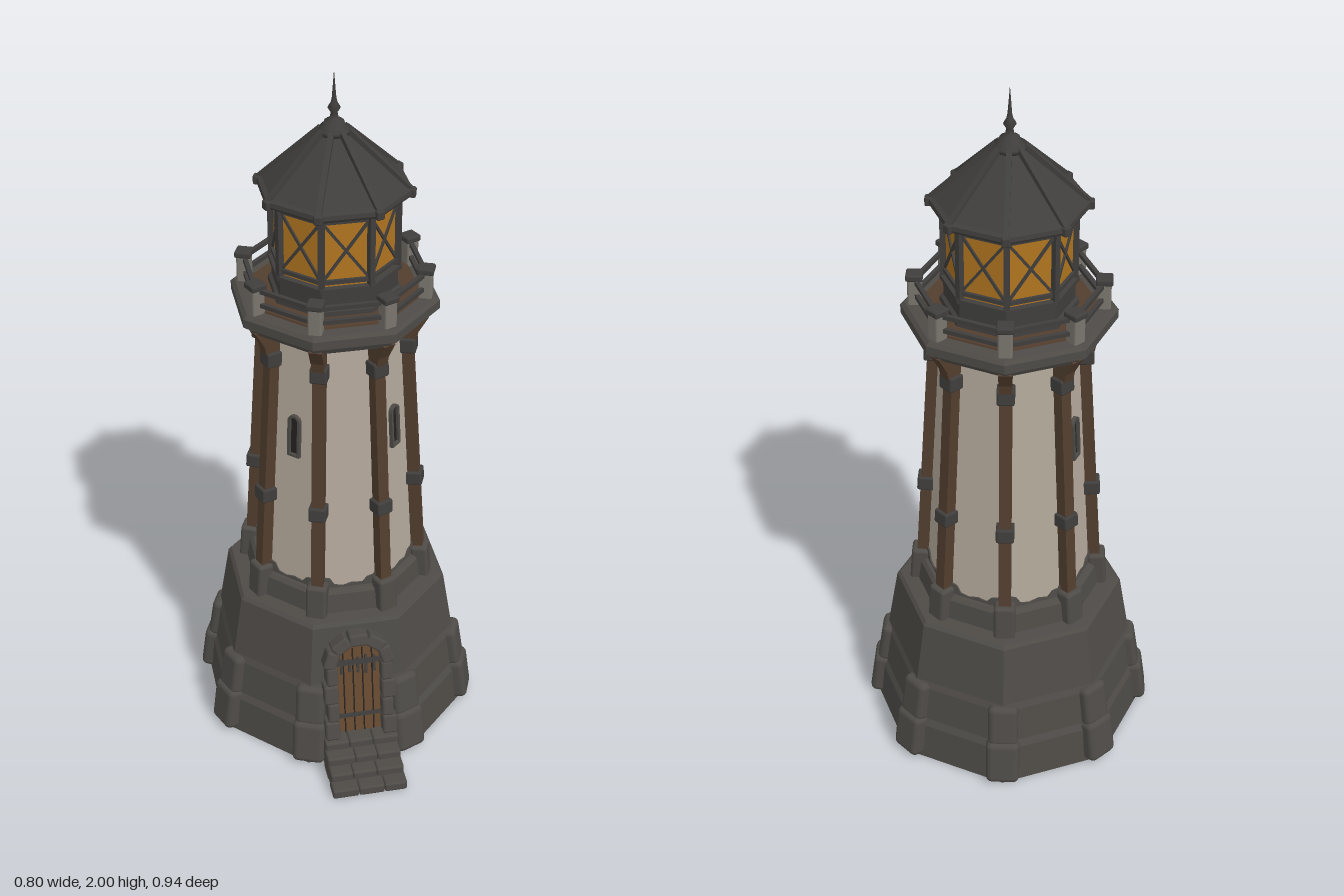
import * as THREE from 'three';
import { RoundedBoxGeometry } from 'three/addons/geometries/RoundedBoxGeometry.js';

const paint = (name, color, side = THREE.FrontSide) => {
  const m = new THREE.MeshStandardMaterial({ color, side });
  m.name = name;
  return m;
};

export function createModel() {
  const stone = paint('stone', 0x4e4b47);
  const plaster = paint('plaster', 0xb3a89b);
  const wood = paint('wood', 0x523e2e);
  const doorWood = paint('doorWood', 0x674930);
  const iron = paint('iron', 0x3f3e3c);
  const glass = paint('amberGlass', 0xb0741f);
  const railStone = paint('railStone', 0x79746d);
  const dark = paint('darkOpening', 0x24211f);

  const model = new THREE.Group();
  model.name = 'lighthouse';
  const body = new THREE.Group();
  body.name = 'lighthouseBody';
  body.position.z = -0.062;
  model.add(body);

  const C = Math.cos(Math.PI / 8);
  const add = (parent, name, geo, mat, x = 0, y = 0, z = 0) => {
    const m = new THREE.Mesh(geo, mat);
    m.name = name;
    m.position.set(x, y, z);
    parent.add(m);
    return m;
  };
  const box = (w, h, d) => new THREE.BoxGeometry(w, h, d);
  const block = (w, h, d, r = 0.012) => new RoundedBoxGeometry(w, h, d, 2, r);

  // Flat-sided octagonal ring; profile is [distance to flat side, height], bottom to top
  const octagon = (name, profile, mat) => {
    const pts = profile.map(([a, y]) => new THREE.Vector2(a / C, y));
    const geo = new THREE.LatheGeometry(pts, 8, Math.PI / 8).toNonIndexed();
    geo.computeVertexNormals();
    return add(body, name, geo, mat);
  };
  // Pivot turned so that local +z points outward
  const pivot = (name, angle) => {
    const g = new THREE.Group();
    g.name = name;
    g.rotation.y = angle;
    body.add(g);
    return g;
  };
  // Bar in the local y-z plane running from (y0, z0) to (y1, z1)
  const beam = (parent, name, y0, z0, y1, z1, w, d, mat, round = 0) => {
    const len = Math.hypot(y1 - y0, z1 - z0);
    const m = add(parent, name, round ? block(w, len, d, round) : box(w, len, d), mat, 0, (y0 + y1) / 2, (z0 + z1) / 2);
    m.rotation.x = Math.atan2(z1 - z0, y1 - y0);
    return m;
  };

  // Main octagonal volumes
  octagon('base', [[0, 0], [0.372, 0], [0.362, 0.115], [0.352, 0.135], [0.338, 0.24], [0.33, 0.26],
    [0.302, 0.44], [0.293, 0.45], [0.2, 0.452]], stone);
  octagon('baseBand', [[0.25, 0.44], [0.252, 0.45], [0.244, 0.51], [0.234, 0.52], [0.2, 0.525]], stone);
  octagon('towerWall', [[0.222, 0.5], [0.176, 1.33]], plaster);
  octagon('gallery', [[0.15, 1.312], [0.24, 1.312], [0.252, 1.335], [0.268, 1.34], [0.268, 1.365],
    [0.258, 1.375], [0.15, 1.377]], stone);
  octagon('galleryFloor', [[0.224, 1.375], [0.222, 1.381], [0.15, 1.382]], wood);
  octagon('lanternBase', [[0.172, 1.377], [0.17, 1.395], [0.161, 1.4], [0.161, 1.445], [0.17, 1.45],
    [0.17, 1.462], [0.14, 1.465]], iron);
  octagon('lanternGlass', [[0.155, 1.455], [0.155, 1.67]], glass);
  octagon('roof', [[0, 1.655], [0.168, 1.655], [0.192, 1.668], [0.196, 1.675], [0.194, 1.687],
    [0.182, 1.692], [0.032, 1.835], [0, 1.837]], iron);

  // Finial with collar, bulb and spike
  const finial = [[0, 1.825], [0.042, 1.828], [0.044, 1.84], [0.03, 1.848], [0.026, 1.862], [0.012, 1.87],
    [0.009, 1.885], [0.017, 1.898], [0.009, 1.912], [0.006, 1.925], [0, 2]];
  add(body, 'finial', new THREE.LatheGeometry(finial.map(([x, y]) => new THREE.Vector2(x, y)), 12), iron);

  // Everything that stands on the eight corners
  for (let k = 0; k < 8; k++) {
    const g = pivot('corner', Math.PI / 8 + k * Math.PI / 4);
    beam(g, 'lowerButtress', 0.004, 0.374, 0.14, 0.355, 0.096, 0.092, stone, 0.018);
    beam(g, 'upperButtress', 0.125, 0.352, 0.253, 0.332, 0.086, 0.084, stone, 0.018);
    beam(g, 'postFoot', 0.44, 0.262, 0.548, 0.254, 0.06, 0.05, stone, 0.01);
    beam(g, 'cornerPost', 0.5, 0.25, 1.3, 0.198, 0.034, 0.034, wood);
    beam(g, 'postClampMiddle', 0.765, 0.234, 0.808, 0.231, 0.05, 0.05, iron, 0.006);
    beam(g, 'postClampTop', 1.2, 0.206, 1.245, 0.204, 0.048, 0.05, iron, 0.006);
    beam(g, 'bracketLower', 1.23, 0.212, 1.285, 0.224, 0.034, 0.03, wood);
    beam(g, 'bracketUpper', 1.275, 0.22, 1.325, 0.248, 0.036, 0.034, wood);
    add(g, 'railPost', block(0.038, 0.085, 0.038, 0.006), railStone, 0, 1.412, 0.25);
    add(g, 'railPostCap', block(0.046, 0.018, 0.046, 0.005), iron, 0, 1.455, 0.25);
    beam(g, 'lanternMullion', 1.45, 0.173, 1.67, 0.173, 0.016, 0.016, iron);
    beam(g, 'roofRib', 1.684, 0.204, 1.838, 0.036, 0.015, 0.018, iron);
    add(g, 'eaveKnob', block(0.024, 0.026, 0.02, 0.005), iron, 0, 1.678, 0.208);
  }

  // Ragged stone edge below the plaster, one thin plate per side
  const slope = Math.atan2(0.046, 0.83);
  const ragged = new THREE.Shape([[-0.098, 0], [0.098, 0], [0.096, 0.085], [0.078, 0.07], [0.068, 0.05], [0.05, 0.045],
    [0.036, 0.028], [0.008, 0.032], [-0.02, 0.025], [-0.045, 0.03], [-0.058, 0.052], [-0.076, 0.058], [-0.096, 0.09]]
    .map(([x, y]) => new THREE.Vector2(x, y)));
  const raggedGeo = new THREE.ExtrudeGeometry(ragged, { depth: 0.006, bevelEnabled: false });

  // Arched outline used by the windows and the door
  const arch = (w, h, Type = THREE.Shape) => {
    const s = new Type();
    s.moveTo(-w, 0).lineTo(w, 0).lineTo(w, h - w);
    s.absarc(0, h - w, w, 0, Math.PI, false);
    return s.lineTo(-w, 0);
  };
  const plate = (shape, depth) => new THREE.ExtrudeGeometry(shape, { depth, bevelEnabled: false, curveSegments: 6 });
  const slitFrame = arch(0.02, 0.13);
  slitFrame.holes.push(new THREE.Path(arch(0.012, 0.115).getPoints(6).map(p => p.add(new THREE.Vector2(0, 0.008)))));

  // Everything that lies on the eight sides
  for (let k = 0; k < 8; k++) {
    const g = pivot('side', k * Math.PI / 4);
    add(g, 'raggedStone', raggedGeo, stone, 0, 0.5, 0.2205).rotation.x = -slope;
    for (const y of [1.402, 1.443]) add(g, 'rail', box(0.192, 0.012, 0.012), iron, 0, y, 0.231);
    for (const y of [1.478, 1.652]) add(g, 'lanternBar', box(0.13, 0.012, 0.012), iron, 0, y, 0.157);
    for (const s of [-1, 1]) {
      add(g, 'lanternBrace', box(0.0075, 0.21, 0.007), iron, 0, 1.565, 0.157).rotation.z = s * Math.atan2(0.122, 0.165);
    }
    // Slit windows on three of the diagonal sides
    if (k === 1 || k === 5 || k === 7) {
      const w = new THREE.Group();
      w.name = 'slitWindow';
      w.position.set(0, 0.935, 0.197);
      w.rotation.x = -slope;
      g.add(w);
      add(w, 'slitOpening', plate(arch(0.014, 0.122), 0.004), dark, 0, 0.002, 0);
      add(w, 'slitFrame', plate(slitFrame, 0.012), stone);
    }
  }

  // Doorway leaning with the base wall
  const door = new THREE.Group();
  door.name = 'doorway';
  door.position.set(0, 0.095, 0.364);
  door.rotation.x = -0.18;
  body.add(door);
  add(door, 'door', plate(arch(0.07, 0.305), 0.008), doorWood);
  for (const x of [-0.042, -0.014, 0.014, 0.042]) add(door, 'plankGap', box(0.004, 0.28, 0.003), dark, x, 0.14, 0.008);
  add(door, 'doorStrap', box(0.13, 0.016, 0.006), iron, 0, 0.235, 0.01);
  add(door, 'doorStrap', box(0.13, 0.012, 0.006), iron, 0, 0.06, 0.01);
  for (let i = -2; i <= 2; i++) {
    add(door, 'doorSpike', box(0.008, 0.05 + 0.01 * (i % 2), 0.006), iron, i * 0.024, 0.225, 0.011);
  }
  for (const s of [-1, 1]) {
    for (let i = 0; i < 4; i++) {
      const w = i % 2 ? 0.034 : 0.043;
      add(door, 'jambStone', block(w, 0.061, 0.07, 0.008), stone, s * (0.063 + w / 2), 0.03 + i * 0.06, 0.008);
    }
  }
  for (let i = 0; i < 5; i++) {
    const a = Math.PI * (i + 0.5) / 5;
    const m = add(door, 'archStone', block(0.056, 0.038, 0.07, 0.008), stone,
      Math.cos(a) * 0.084, 0.235 + Math.sin(a) * 0.084, 0.008);
    m.rotation.z = a - Math.PI / 2;
  }

  // Entrance steps laid from uneven blocks
  const joints = [[-0.112, -0.035, 0.04, 0.106], [-0.11, -0.045, 0.025, 0.105],
    [-0.112, -0.03, 0.035, 0.104], [-0.11, -0.04, 0.03, 0.106]];
  joints.forEach((row, i) => {
    const h = 0.03 + i * 0.024, front = 0.537 - i * 0.04, depth = i === 3 ? 0.09 : 0.06;
    for (let j = 0; j < 3; j++) {
      const w = row[j + 1] - row[j];
      add(body, 'stepBlock', block(w, h, depth, 0.007), stone, (row[j] + row[j + 1]) / 2, h / 2, front - depth / 2);
    }
  });

  return model;
}
